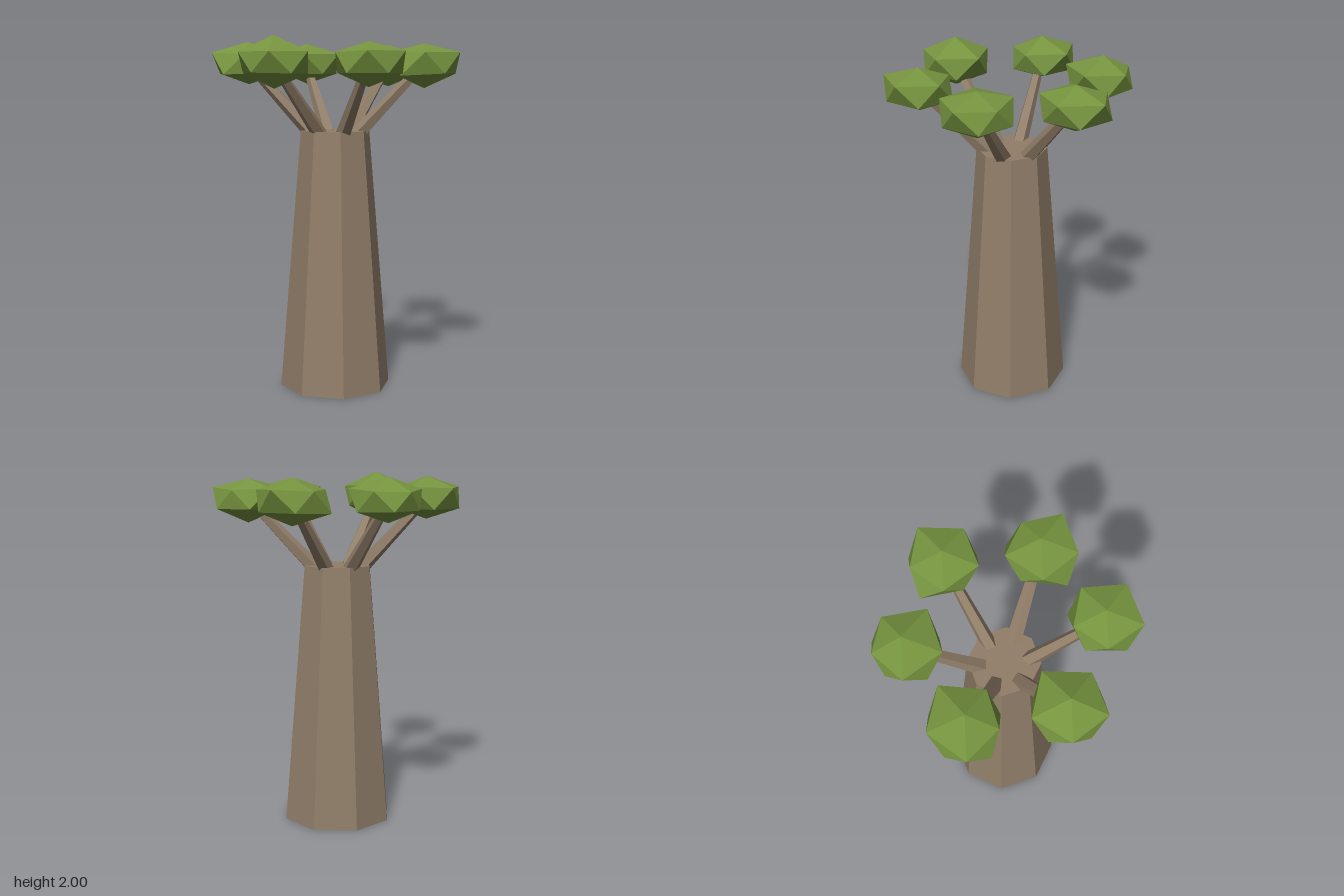
import * as THREE from 'three';

const bark = new THREE.MeshStandardMaterial({ color: 0x917e69, flatShading: true, side: THREE.DoubleSide });
bark.name = 'bark brown';
const leaf = new THREE.MeshStandardMaterial({ color: 0x76943f, flatShading: true });
leaf.name = 'leaf green';

const SIDES = 8, TURN = 0.06, TOP = 1.48;

// Squashed, uneven icosahedron: ten radii alternate between upper and lower ring
function leafClump(radii, top, bottom) {
  const ring = radii.map((r, i) => {
    const a = (i * Math.PI) / 5;
    return [r * Math.cos(a), (i % 2 ? -0.3 : 0.3) * r, r * Math.sin(a)];
  });
  const points = [];
  for (let i = 0; i < 10; i += 2) {
    const u = ring[i], l = ring[i + 1], u2 = ring[(i + 2) % 10], l2 = ring[(i + 3) % 10];
    points.push([0, top, 0], u2, u, u, u2, l, l, u2, l2, l, l2, [0, bottom, 0]);
  }
  const geo = new THREE.BufferGeometry();
  geo.setAttribute('position', new THREE.Float32BufferAttribute(points.flat(), 3));
  geo.computeVertexNormals();
  return geo;
}

// Tapered limb between two points
function limb(from, to, r0, r1) {
  const dir = to.clone().sub(from);
  const mesh = new THREE.Mesh(new THREE.CylinderGeometry(r1, r0, dir.length(), 5), bark);
  mesh.position.copy(from).addScaledVector(dir, 0.5);
  mesh.quaternion.setFromUnitVectors(new THREE.Vector3(0, 1, 0), dir.normalize());
  return mesh;
}

export function createModel() {
  const tree = new THREE.Group();
  tree.name = 'tree';
  const body = new THREE.Group();
  body.name = 'treeBody';
  body.position.x = -0.022;
  tree.add(body);

  // Hollow trunk, open underneath
  const trunk = new THREE.Mesh(
    new THREE.CylinderGeometry(0.197, 0.319, TOP, SIDES, 1, true, TURN), bark);
  trunk.name = 'trunk';
  trunk.position.y = TOP / 2;
  const cap = new THREE.Mesh(new THREE.CircleGeometry(0.197, SIDES, TURN - Math.PI / 2), bark);
  cap.name = 'trunkTop';
  cap.rotation.x = -Math.PI / 2;
  cap.position.y = TOP;
  cap.rotation.z = -0;
  cap.geometry.rotateZ(0);
  body.add(trunk, cap);

  // Clumps every 60 degrees from +x towards +z
  const clumps = [
    { r: [0.207, 0.185, 0.19, 0.18, 0.19, 0.17, 0.193, 0.211, 0.174, 0.19], top: 1.97, bottom: 1.725 },
    { r: [0.16, 0.185, 0.204, 0.185, 0.195, 0.222, 0.207, 0.185, 0.196, 0.185], top: 1.965, bottom: 1.72 },
    { r: [0.189, 0.185, 0.2, 0.18, 0.196, 0.181, 0.178, 0.174, 0.17, 0.189], top: 1.965, bottom: 1.73 },
    { r: [0.215, 0.185, 0.196, 0.185, 0.192, 0.17, 0.189, 0.181, 0.196, 0.185], top: 2.0, bottom: 1.72 },
    { r: [0.215, 0.185, 0.181, 0.178, 0.167, 0.2, 0.211, 0.185, 0.196, 0.192], top: 1.98, bottom: 1.74 },
    { r: [0.174, 0.185, 0.211, 0.185, 0.204, 0.192, 0.2, 0.163, 0.159, 0.17], top: 1.98, bottom: 1.74 },
  ];
  const midY = 1.855;
  clumps.forEach((c, i) => {
    const a = (i * Math.PI) / 3;
    const at = (r, y) => new THREE.Vector3(r * Math.cos(a), y, r * Math.sin(a));
    const branch = limb(at(0.125, 1.455), at(0.48, 1.83), 0.045, 0.026);
    branch.name = 'branch' + (i + 1);
    const crown = new THREE.Mesh(leafClump(c.r, c.top - midY, c.bottom - midY), leaf);
    crown.name = 'leafClump' + (i + 1);
    crown.position.copy(at(0.502, midY));
    body.add(branch, crown);
  });
  return tree;
}
